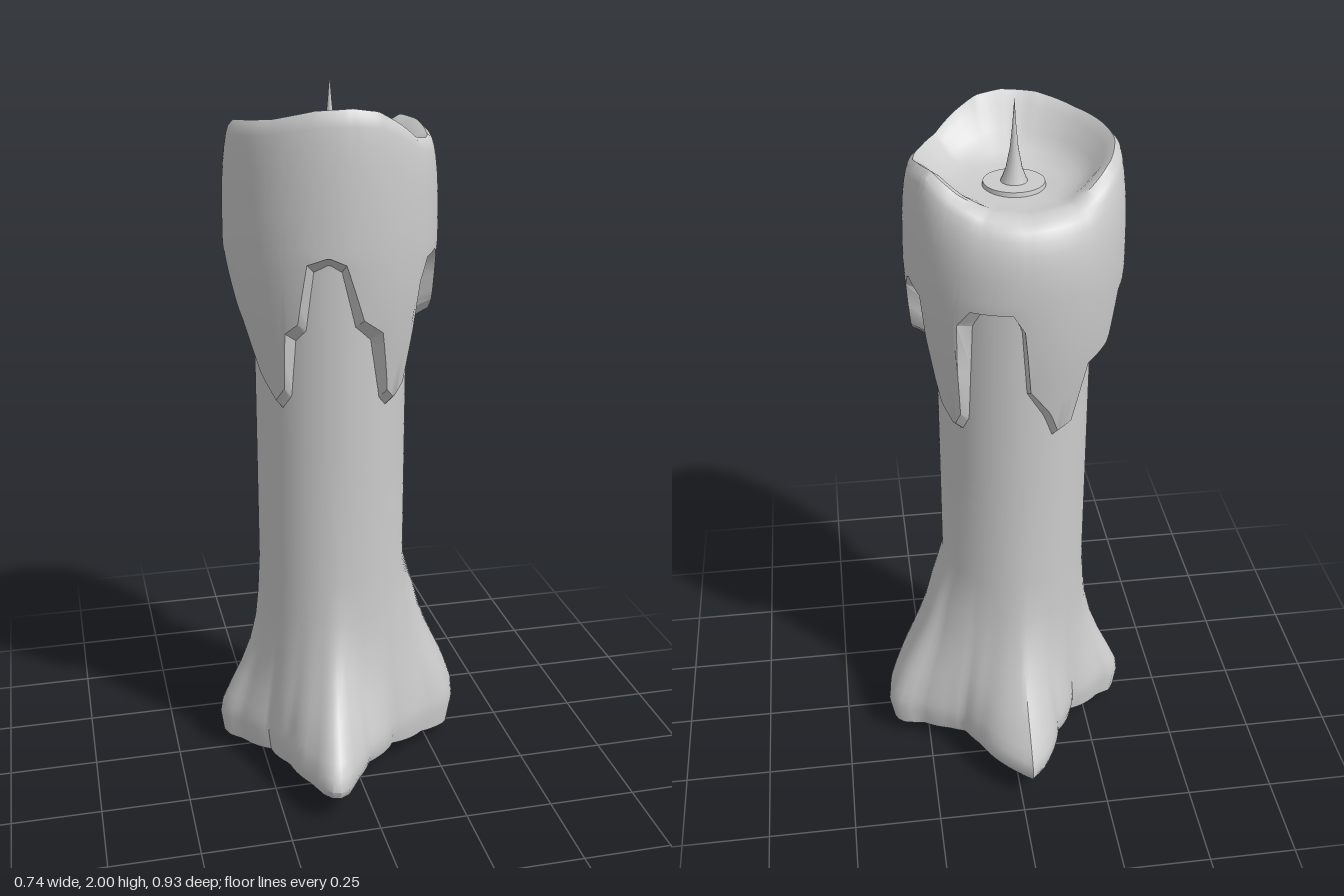
import * as THREE from 'three';
import { toCreasedNormals } from 'three/addons/utils/BufferGeometryUtils.js';

const AXIS_X = -0.03;

// Linear lookup in a list of [key, value] pairs.
function lookup(list, k) {
  if (k <= list[0][0]) return list[0][1];
  for (let i = 1; i < list.length; i++) {
    const [k0, v0] = list[i - 1], [k1, v1] = list[i];
    if (k <= k1) return v0 + (v1 - v0) * (k - k0) / (k1 - k0);
  }
  return list[list.length - 1][1];
}

// Lookup around the axis: degrees from +z towards +x, wrapping at 360.
function around(list, deg) {
  const first = list[0];
  const d = ((deg - first[0]) % 360 + 360) % 360 + first[0];
  return lookup([...list, [first[0] + 360, first[1]]], d);
}

// Skin through closed rings; profile(deg) gives [radius, y] points along one column.
function skin(columns, profile, crease) {
  const pos = [], index = [];
  let n = 0;
  for (let c = 0; c < columns; c++) {
    const deg = c * 360 / columns, a = THREE.MathUtils.degToRad(deg);
    const pts = profile(deg);
    n = pts.length;
    for (const [r, y] of pts) pos.push(Math.sin(a) * r, y, Math.cos(a) * r);
  }
  for (let c = 0; c < columns; c++) {
    const d = (c + 1) % columns;
    for (let i = 0; i < n - 1; i++) {
      const p = c * n + i, q = d * n + i;
      index.push(p, q, q + 1, p, q + 1, p + 1);
    }
  }
  const g = new THREE.BufferGeometry();
  g.setAttribute('position', new THREE.Float32BufferAttribute(pos, 3));
  g.setIndex(index);
  return toCreasedNormals(g, crease);
}

// Outline of the four-footed base
const FOOT = [
  [-37, 0.3], [-20, 0.4], [-14, 0.46], [-10, 0.476], [-6, 0.455], [-1, 0.39], [9, 0.31], [36, 0.25],
  [63, 0.29], [76, 0.36], [104, 0.412], [110, 0.405], [117, 0.345], [131, 0.305], [142, 0.29],
  [155, 0.33], [173, 0.43], [180, 0.472], [186, 0.43], [201, 0.3], [225, 0.24],
  [250, 0.29], [255, 0.325], [263, 0.342], [270, 0.325], [277, 0.29], [300, 0.25],
];
// How strongly the feet show at each height
const FLARE = [[0.1, 1], [0.14, 0.95], [0.2, 0.74], [0.27, 0.48], [0.34, 0.27], [0.42, 0.12], [0.5, 0.05], [0.62, 0]];

// Lower edge of the melted wax, with its drips
const DRIPS = [
  [-50, 1.13], [-42, 1.17], [-38, 1.33], [-30, 1.36], [-24, 1.52], [-13, 1.54], [-4, 1.52], [6, 1.37],
  [18, 1.33], [26, 1.16], [33, 1.13], [40, 1.17], [44, 1.45], [50, 1.51], [62, 1.52], [68, 1.49],
  [73, 1.37], [82, 1.33], [90, 1.36], [94, 1.49], [103, 1.54], [116, 1.51], [121, 1.2], [131, 1.13],
  [138, 1.18], [142, 1.47], [150, 1.52], [172, 1.52], [178, 1.47], [182, 1.28], [195, 1.2], [202, 1.13],
  [212, 1.15], [218, 1.33], [235, 1.36], [242, 1.5], [255, 1.52], [270, 1.51], [278, 1.45], [290, 1.34],
  [300, 1.2],
];
// Crest height and crest radius of the upper rim
const RIM_Y = [
  [0, 1.93], [15, 1.92], [30, 1.885], [45, 1.845], [60, 1.835], [80, 1.838], [100, 1.862], [117, 1.868],
  [135, 1.82], [155, 1.785], [180, 1.775], [215, 1.785], [246, 1.85], [270, 1.88], [315, 1.9], [340, 1.925],
];
const RIM_R = [
  [0, 0.265], [60, 0.26], [90, 0.255], [117, 0.25], [140, 0.222], [165, 0.205], [200, 0.205],
  [225, 0.222], [250, 0.245], [270, 0.257], [320, 0.265],
];
const WAX_R = [[1.1, 0.225], [1.15, 0.238], [1.2, 0.248], [1.3, 0.264], [1.4, 0.28], [1.5, 0.288], [1.56, 0.292]];

const SHOULDER_Y = 1.56, FLOOR_Y = 1.77;

function shaftProfile(deg) {
  const a = THREE.MathUtils.degToRad(deg);
  const foot = around(FOOT, deg);
  const rimY = 0.06 + 0.02 * Math.cos(2 * a);
  // the foot at +x rises more gradually
  const power = 1 - 0.5 * THREE.MathUtils.smoothstep(Math.sin(a), 0.3, 0.8);
  const pts = [[0, 0.025], [foot * 0.62, 0.02 + 0.02 * Math.sin(a)], [foot * 0.97, rimY]];
  for (const y of [0.105, 0.14, 0.17, 0.2, 0.235, 0.27, 0.34, 0.42, 0.5, 0.62, 1, 1.6]) {
    pts.push([0.211 + (foot - 0.211) * Math.pow(lookup(FLARE, y), power), y]);
  }
  return pts;
}

function waxProfile(deg) {
  const edge = around(DRIPS, deg), top = around(RIM_Y, deg), crest = around(RIM_R, deg);
  const lip = edge + 0.025;
  const pts = [[0.2, edge - 0.015]];
  // hanging skirt
  for (let i = 0; i <= 4; i++) {
    const y = THREE.MathUtils.lerp(lip, SHOULDER_Y + 0.02, i / 4);
    pts.push([lookup(WAX_R, y), y]);
  }
  // shoulder rounding over to the crest
  for (const s of [0.25, 0.45, 0.62, 0.77, 0.88, 0.95, 1]) {
    const bulge = Math.pow(1 - Math.pow(s, 2.4), 1 / 2.4);
    pts.push([crest + (0.292 - crest) * bulge, THREE.MathUtils.lerp(SHOULDER_Y + 0.02, top, s)]);
  }
  // hollow top
  for (const [k, h] of [[0.9, 0.8], [0.8, 0.42], [0.66, 0.16], [0.5, 0.03]]) {
    pts.push([crest * k, THREE.MathUtils.lerp(FLOOR_Y, top, h)]);
  }
  pts.push([0, FLOOR_Y]);
  return pts;
}

export function createModel() {
  const group = new THREE.Group();
  group.name = 'candle';
  const material = new THREE.MeshStandardMaterial({ color: 0xcccccc });
  const add = (name, geometry, y = 0) => {
    const mesh = new THREE.Mesh(geometry, material);
    mesh.name = name;
    mesh.position.set(AXIS_X, y, 0);
    group.add(mesh);
  };

  add('shaftAndBase', skin(120, shaftProfile, 0.75));
  add('meltedWax', skin(180, waxProfile, 0.65));

  // Small raised pool around the wick
  add('waxPool', new THREE.CylinderGeometry(0.08, 0.084, 0.02, 32), FLOOR_Y + 0.002);

  // Tapering wick
  const wick = [[0.038, 1.775], [0.022, 1.815], [0.011, 1.87], [0.005, 1.93], [0, 2]];
  add('wick', new THREE.LatheGeometry(wick.map(([r, y]) => new THREE.Vector2(r, y)), 16));

  return group;
}
